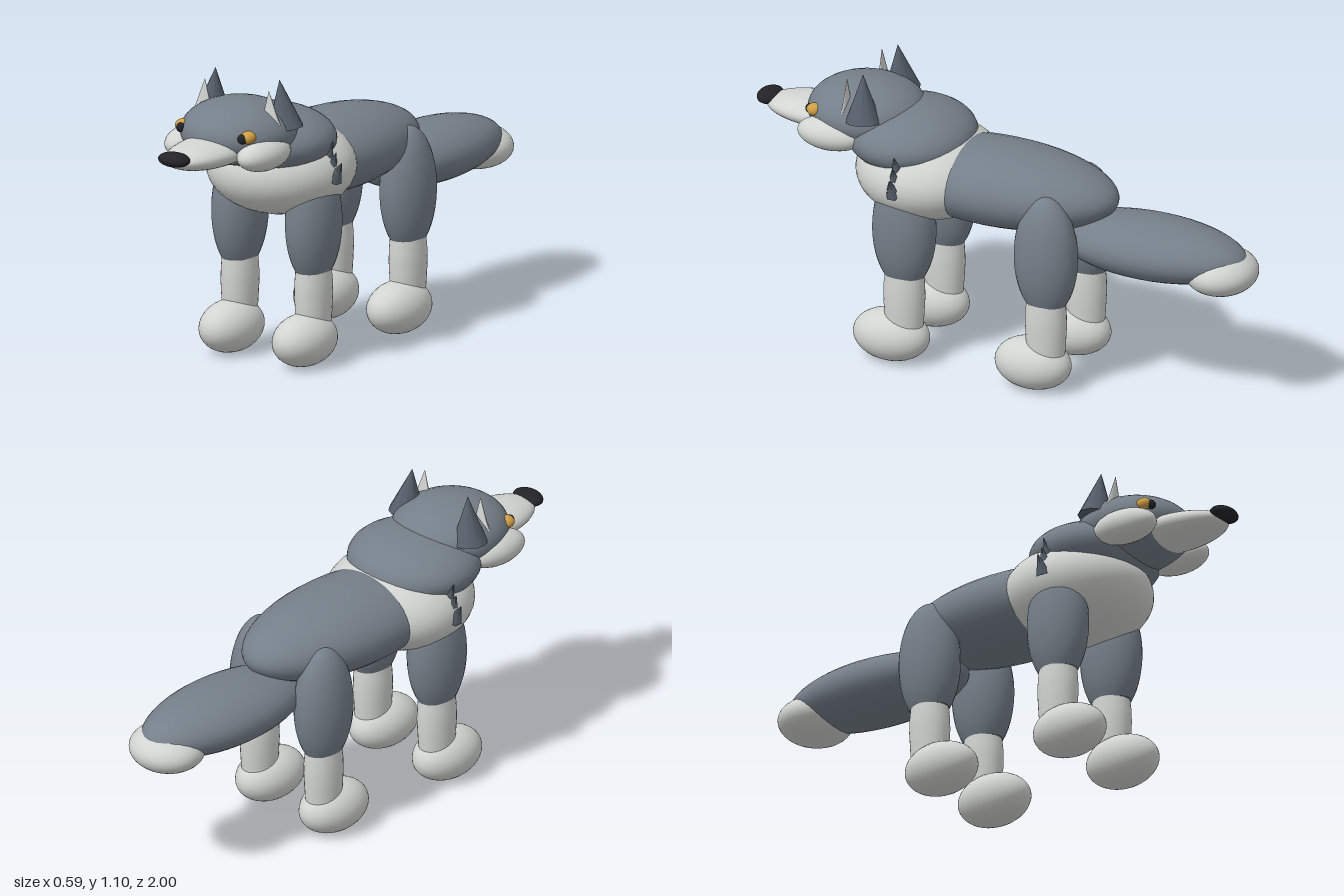
import * as THREE from 'three';

const paint = (name, color) => {
  const m = new THREE.MeshStandardMaterial({ color });
  m.name = name;
  return m;
};

export function createModel() {
  const wolf = new THREE.Group();
  wolf.name = 'wolf';

  const grey = paint('greyFur', 0x757f89);
  const darkGrey = paint('darkGreyFur', 0x56606b);
  const light = paint('lightFur', 0xd2d4d1);
  const black = paint('black', 0x232328);
  const amber = paint('amber', 0xcf9f45);

  const add = (name, geometry, material, [x, y, z]) => {
    const mesh = new THREE.Mesh(geometry, material);
    mesh.name = name;
    mesh.position.set(x, y, z);
    wolf.add(mesh);
    return mesh;
  };

  // Ellipsoid from centre and radii, poles along the body
  const blob = (name, material, centre, [rx, ry, rz], segments = 32) => {
    const g = new THREE.SphereGeometry(1, segments, segments * 0.75);
    g.rotateX(Math.PI / 2);
    g.scale(rx, ry, rz);
    return add(name, g, material, centre);
  };

  // Cone whose axis runs from the base centre to the tip
  const spike = (name, material, base, tip, radius, sides, flatten = 1) => {
    const a = new THREE.Vector3(...base);
    const axis = new THREE.Vector3(...tip).sub(a);
    const h = axis.length();
    const g = new THREE.ConeGeometry(radius, h, sides);
    g.translate(0, h / 2, 0);
    g.scale(1, 1, flatten);
    const mesh = add(name, g, material, base);
    mesh.quaternion.setFromUnitVectors(new THREE.Vector3(0, 1, 0), axis.normalize());
    return mesh;
  };

  // Body, chest and mane
  blob('body', grey, [0, 0.71, 0.03], [0.23, 0.15, 0.47]);
  blob('chest', light, [0, 0.713, 0.305], [0.275, 0.175, 0.275]);
  blob('mane', grey, [0, 0.835, 0.38], [0.255, 0.12, 0.235]);

  // Tail with pale tip
  blob('tail', grey, [0, 0.572, -0.58], [0.18, 0.112, 0.38]);
  blob('tailTip', light, [0, 0.53, -0.863], [0.145, 0.083, 0.135]);

  // Head, muzzle and nose
  blob('head', grey, [0, 0.898, 0.56], [0.213, 0.122, 0.22]);
  blob('muzzle', light, [0, 0.855, 0.735], [0.12, 0.054, 0.225]);
  blob('nose', black, [0, 0.87, 0.953], [0.065, 0.027, 0.045], 24);

  // Upper leg: barrel with a flat lower end
  const thighProfile = [new THREE.Vector2(0, -0.183)];
  const start = Math.asin(-0.183 / 0.237);
  for (let i = 0; i <= 18; i++) {
    const a = start + (Math.PI / 2 - start) * (i / 18);
    thighProfile.push(new THREE.Vector2(i === 18 ? 0 : Math.cos(a), 0.237 * Math.sin(a)));
  }
  // Flat end kept separate so the barrel shades smoothly
  const thigh = new THREE.LatheGeometry(thighProfile.slice(1), 28);
  thigh.scale(0.094, 1, 0.122);
  const thighEnd = new THREE.CircleGeometry(Math.cos(start), 28);
  thighEnd.rotateX(Math.PI / 2);
  thighEnd.scale(0.094, 1, 0.122);

  // Lower leg: slightly swollen tube
  const shin = new THREE.LatheGeometry(
    [[0.87, 0.1], [0.95, 0.19], [1, 0.26], [0.98, 0.31], [0.92, 0.36]].map(([r, y]) => new THREE.Vector2(r, y)), 28);
  shin.scale(0.066, 1, 0.079);

  for (const s of [1, -1]) {
    const side = s > 0 ? 'left' : 'right';

    // Legs and paws
    for (const [end, z] of [['Front', 0.333], ['Hind', -0.237]]) {
      const n = side + end;
      add(n + 'UpperLeg', thigh, grey, [s * 0.167, 0.53, z]);
      add(n + 'UpperLegEnd', thighEnd, grey, [s * 0.167, 0.347, z]);
      add(n + 'LowerLeg', shin, light, [s * 0.167, 0, z]);
      blob(n + 'Paw', light, [s * 0.166, 0.098, z + 0.052], [0.102, 0.098, 0.147]);
    }

    // Cheeks and eyes
    blob(side + 'Cheek', light, [s * 0.164, 0.848, 0.63], [0.075, 0.061, 0.13]);
    blob(side + 'Eye', amber, [s * 0.148, 0.922, 0.703], [0.028, 0.024, 0.03], 20);
    blob(side + 'Pupil', black, [s * 0.139, 0.919, 0.727], [0.018, 0.018, 0.016], 16);

    // Ears
    spike(side + 'Ear', darkGrey, [s * 0.165, 0.92, 0.5], [s * 0.145, 1.098, 0.51], 0.067, 10);
    spike(side + 'InnerEar', light, [s * 0.153, 0.935, 0.572], [s * 0.145, 1.07, 0.574], 0.047, 10, 0.25);

    // Fur tufts on the shoulder
    spike(side + 'TuftLow', darkGrey, [s * 0.258, 0.7, 0.333], [s * 0.296, 0.772, 0.333], 0.03, 6);
    spike(side + 'TuftMiddle', darkGrey, [s * 0.245, 0.745, 0.333], [s * 0.27, 0.807, 0.333], 0.025, 6);
    spike(side + 'TuftHigh', darkGrey, [s * 0.232, 0.79, 0.333], [s * 0.256, 0.846, 0.333], 0.02, 6);
  }
  return wolf;
}
